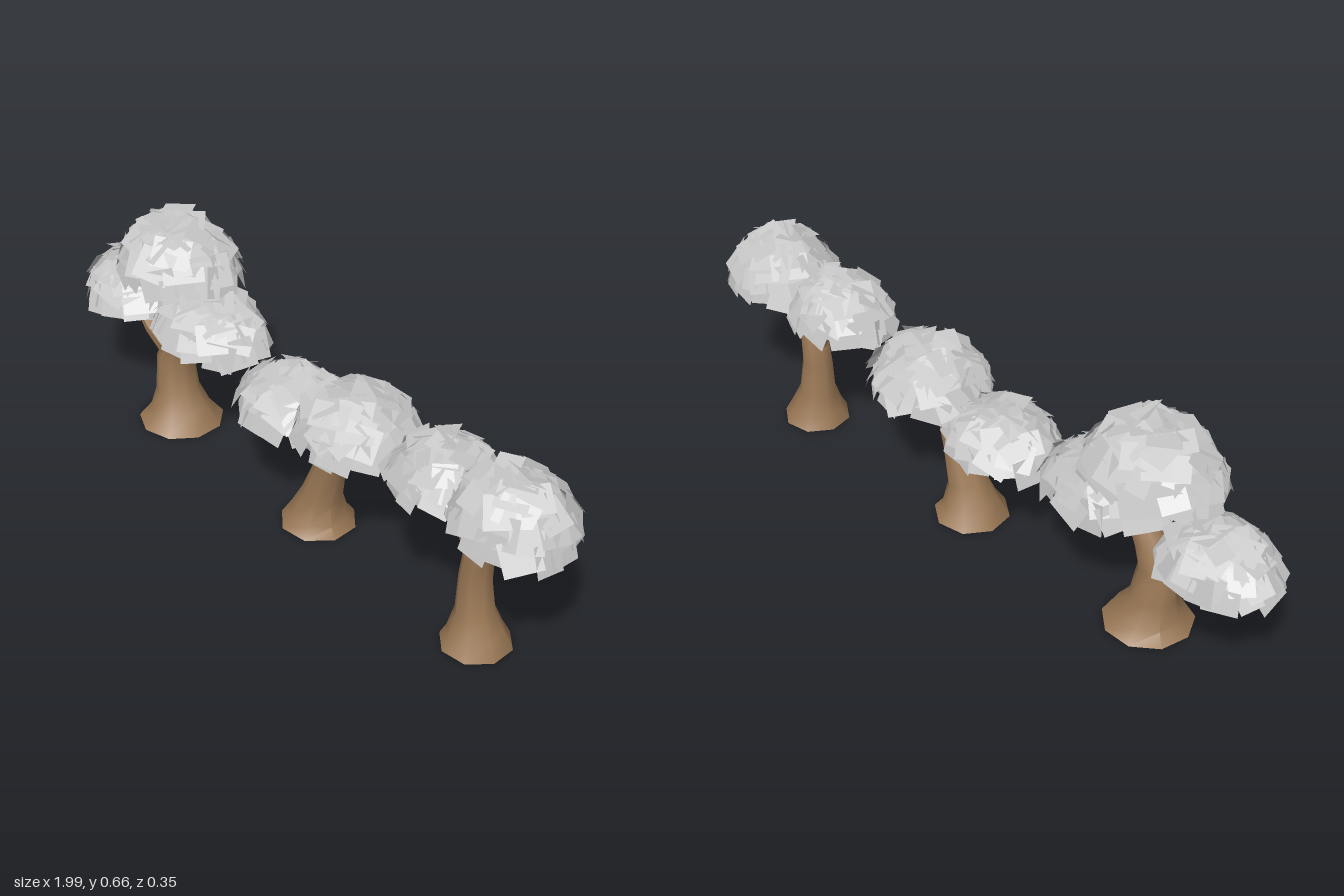
import * as THREE from 'three';
import { mergeGeometries, toCreasedNormals } from 'three/addons/utils/BufferGeometryUtils.js';

const bark = new THREE.MeshStandardMaterial({ name: 'bark brown', color: 0x9a7855 });
const foliage = new THREE.MeshStandardMaterial({ name: 'foliage grey', color: 0xc8c8c8, side: THREE.DoubleSide });

// seeded random in -1..1
let seed = 7;
function rnd() {
  seed = (seed * 16807) % 2147483647;
  return (seed / 2147483647) * 2 - 1;
}

// tapering limb lofted through rings [x, y, z, radius]; a trunk starts with a flat ring
function limb(name, rings, sides, flatStart = false) {
  const pos = [], idx = [];
  rings.forEach(([x, y, z, r], k) => {
    const a = rings[Math.max(k - 1, 0)], b = rings[Math.min(k + 1, rings.length - 1)];
    const len = Math.hypot(b[0] - a[0], b[1] - a[1]);
    const flat = flatStart && k === 0;
    const ux = flat ? 1 : (b[1] - a[1]) / len;
    const uy = flat ? 0 : -(b[0] - a[0]) / len;
    for (let i = 0; i < sides; i++) {
      const t = (i + 0.3) / sides * Math.PI * 2;
      const c = Math.cos(t) * r;
      pos.push(x + ux * c, y + uy * c, z + Math.sin(t) * r);
    }
  });
  const n = rings.length;
  for (let k = 0; k < n - 1; k++) {
    for (let i = 0; i < sides; i++) {
      const a = k * sides + i, b = k * sides + (i + 1) % sides;
      idx.push(a, a + sides, b, b, a + sides, b + sides);
    }
  }
  // end caps
  const top = (n - 1) * sides;
  for (let i = 1; i < sides - 1; i++) {
    idx.push(0, i, i + 1, top, top + i + 1, top + i);
  }
  const g = new THREE.BufferGeometry();
  g.setAttribute('position', new THREE.Float32BufferAttribute(pos, 3));
  g.setIndex(idx);
  const mesh = new THREE.Mesh(toCreasedNormals(g, 0.85), bark);
  mesh.name = name;
  return mesh;
}

// open oval dome covered with ragged leaf cards; rows hold [elevation, card count]
const rows = [[0.18, 15], [0.46, 14], [0.78, 11], [1.08, 8], [1.36, 4]];
function canopy(name, x, y, z, radiusX, radiusZ, height) {
  const group = new THREE.Group();
  group.name = name;
  group.position.set(x, y + 0.015, z);
  const rx = radiusX * 0.88, rz = radiusZ * 0.88, h = height - 0.026;

  const shell = new THREE.Mesh(
    new THREE.SphereGeometry(1, 24, 8, 0, Math.PI * 2, 0, Math.PI / 2).scale(rx, h, rz), foliage);
  shell.name = 'leafDome';
  group.add(shell);

  const cards = [], o = new THREE.Object3D();
  const size = (radiusX + radiusZ) * 0.26;
  for (const [elevation, count] of rows) {
    for (let i = 0; i < count; i++) {
      const e = elevation + rnd() * 0.09;
      const t = (i + rnd() * 0.35 + elevation * 3) / count * Math.PI * 2;
      const p = new THREE.Vector3(Math.cos(e) * Math.cos(t) * rx, Math.sin(e) * h, Math.cos(e) * Math.sin(t) * rz);
      const normal = new THREE.Vector3(p.x / (rx * rx), p.y / (h * h), p.z / (rz * rz)).normalize();
      o.position.copy(p).addScaledVector(normal, 0.007 + rnd() * 0.004);
      // tip each card so its lower edge flares out
      normal.x += rnd() * 0.25;
      normal.y += 0.16 + rnd() * 0.12;
      normal.z += rnd() * 0.25;
      o.lookAt(normal.add(o.position));
      o.rotateZ(rnd() * 0.4);
      o.updateMatrix();
      const card = new THREE.PlaneGeometry(size * (1 + rnd() * 0.25), size * (0.85 + rnd() * 0.15));
      cards.push(card.applyMatrix4(o.matrix));
    }
  }
  const leaves = new THREE.Mesh(mergeGeometries(cards), foliage);
  leaves.name = 'leafCards';
  group.add(leaves);
  return group;
}

function tree(name, ...parts) {
  const group = new THREE.Group();
  group.name = name;
  group.add(...parts);
  return group;
}

export function createModel() {
  seed = 7;
  const model = new THREE.Group();
  model.name = 'threeTrees';

  model.add(tree('tallTree',
    limb('trunk', [
      [-0.592, 0, 0.01, 0.125], [-0.598, 0.04, 0.01, 0.088], [-0.607, 0.1, 0.01, 0.064],
      [-0.617, 0.2, 0.007, 0.054], [-0.59, 0.27, 0.002, 0.044], [-0.545, 0.34, 0, 0.033], [-0.515, 0.4, 0, 0.022]
    ], 9, true),
    limb('rightBranch', [
      [-0.61, 0.19, 0, 0.033], [-0.67, 0.212, 0, 0.031], [-0.74, 0.235, 0, 0.025],
      [-0.795, 0.275, 0, 0.02], [-0.83, 0.35, 0, 0.012]
    ], 7),
    limb('upperBranch', [
      [-0.56, 0.3, 0, 0.026], [-0.565, 0.4, -0.005, 0.022], [-0.58, 0.53, -0.01, 0.016]
    ], 7),
    canopy('topCanopy', -0.6, 0.475, -0.008, 0.205, 0.165, 0.178),
    canopy('rightCanopy', -0.822, 0.3, -0.004, 0.177, 0.145, 0.14),
    canopy('leftCanopy', -0.448, 0.343, -0.004, 0.193, 0.15, 0.142)
  ));

  model.add(tree('leaningTree',
    limb('trunk', [
      [0.055, 0, 0, 0.108], [0.06, 0.04, 0, 0.08], [0.072, 0.1, 0, 0.058],
      [0.105, 0.2, 0, 0.046], [0.14, 0.28, 0, 0.036], [0.195, 0.4, 0, 0.024]
    ], 8, true),
    limb('rightBranch', [
      [0.12, 0.215, 0, 0.026], [0.06, 0.24, 0, 0.022], [-0.05, 0.285, 0, 0.014]
    ], 7),
    canopy('leftCanopy', 0.21, 0.343, -0.006, 0.187, 0.162, 0.16),
    canopy('rightCanopy', -0.07, 0.285, -0.004, 0.177, 0.145, 0.138)
  ));

  model.add(tree('straightTree',
    limb('trunk', [
      [0.71, 0, 0, 0.098], [0.706, 0.04, 0, 0.077], [0.7, 0.1, 0, 0.054],
      [0.695, 0.2, 0, 0.045], [0.705, 0.285, 0, 0.041], [0.738, 0.36, 0, 0.027], [0.775, 0.46, 0, 0.018]
    ], 8, true),
    limb('rightBranch', [
      [0.69, 0.27, 0, 0.03], [0.65, 0.335, 0, 0.025], [0.59, 0.42, 0, 0.015]
    ], 7),
    canopy('leftCanopy', 0.812, 0.41, -0.004, 0.182, 0.155, 0.178),
    canopy('rightCanopy', 0.57, 0.398, -0.004, 0.167, 0.14, 0.145)
  ));

  return model;
}
